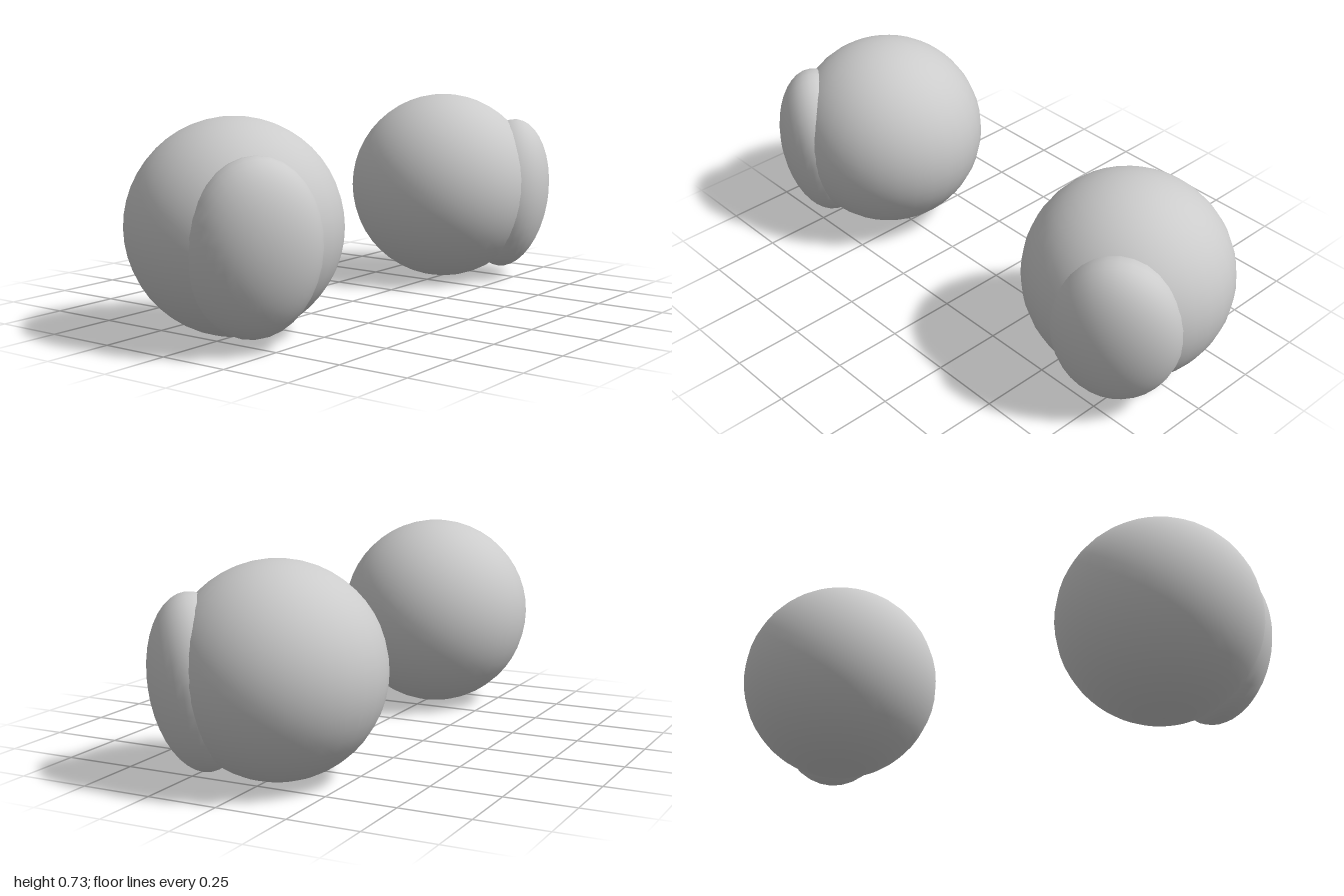
import * as THREE from 'three';

const RADIUS = 0.364;
const material = new THREE.MeshStandardMaterial({ color: 0xcccccc, roughness: 0.6 });

// One eye: a ball with an oval dome turned outward and slightly down
function makeEye(side) {
  const eye = new THREE.Group();
  eye.name = side > 0 ? 'leftEye' : 'rightEye';
  eye.position.set(side * 0.636, RADIUS + 0.002, -0.016);

  const ball = new THREE.Mesh(new THREE.SphereGeometry(RADIUS, 32, 24), material);
  ball.name = 'eyeball';
  eye.add(ball);

  // Oval iris dome, sunk into the ball
  const domeGeometry = new THREE.SphereGeometry(1, 32, 20);
  domeGeometry.rotateX(Math.PI / 2);
  domeGeometry.scale(0.222, 0.298, 0.163);
  domeGeometry.translate(0, 0, 0.259);
  const dome = new THREE.Mesh(domeGeometry, material);
  dome.name = 'iris';
  dome.rotation.set(THREE.MathUtils.degToRad(7), side * THREE.MathUtils.degToRad(35), 0, 'YXZ');
  eye.add(dome);
  return eye;
}

export function createModel() {
  const model = new THREE.Group();
  model.name = 'eyes';
  for (const side of [-1, 1]) model.add(makeEye(side));
  return model;
}
